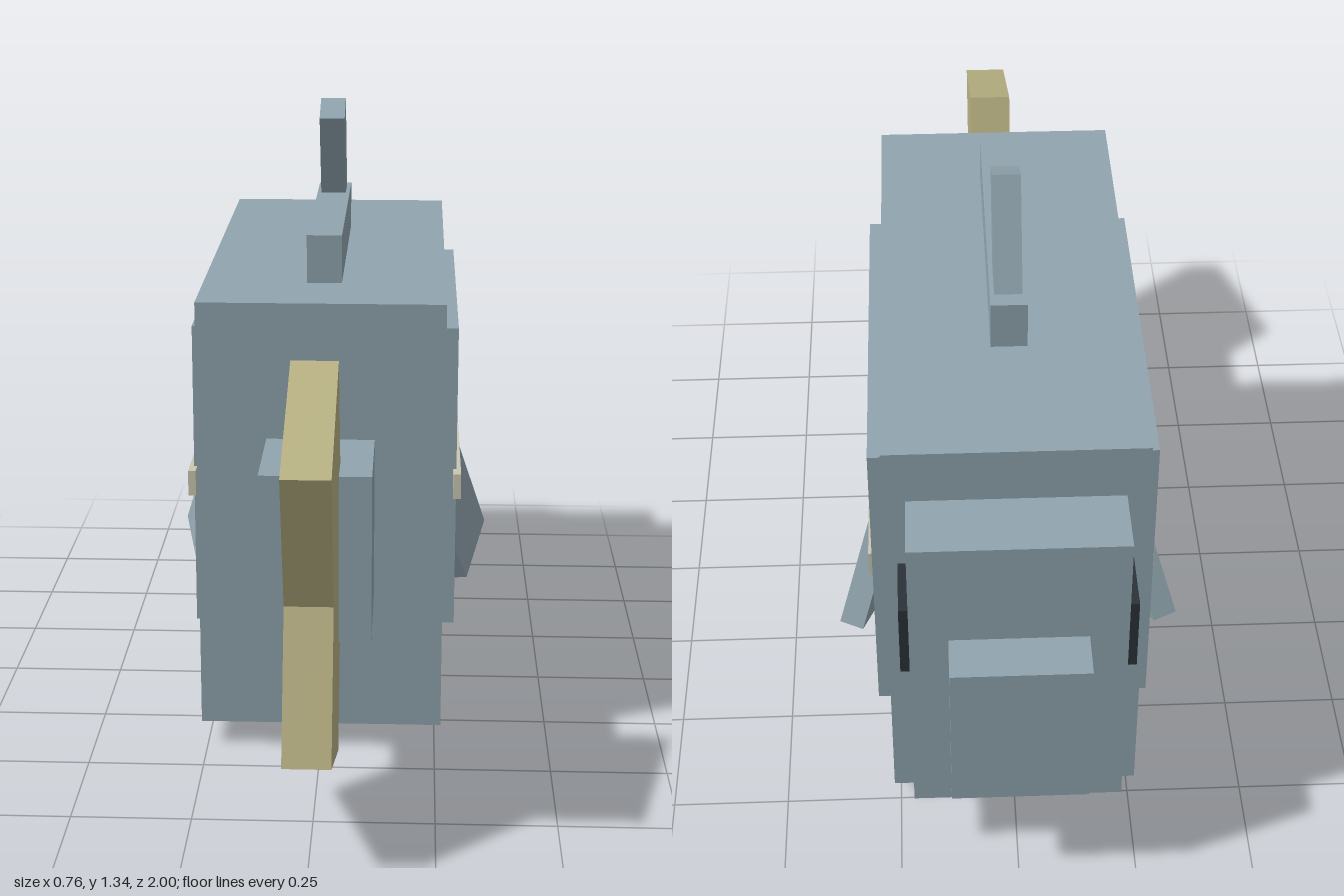
import * as THREE from 'three';

const material = (name, color) => {
  const m = new THREE.MeshStandardMaterial({ color });
  m.name = name;
  return m;
};

// Prism from a convex outer loop (counter-clockwise from outside) pushed along an offset
function prism(outer, offset) {
  const inner = outer.map((p) => p.clone().add(offset));
  const pos = [];
  const tri = (...pts) => pts.forEach((p) => pos.push(p.x, p.y, p.z));
  const n = outer.length;
  for (let i = 1; i < n - 1; i++) {
    tri(outer[0], outer[i], outer[i + 1]);
    tri(inner[0], inner[i + 1], inner[i]);
  }
  for (let i = 0; i < n; i++) {
    const j = (i + 1) % n;
    tri(outer[i], inner[i], inner[j]);
    tri(outer[i], inner[j], outer[j]);
  }
  const g = new THREE.BufferGeometry();
  g.setAttribute('position', new THREE.Float32BufferAttribute(pos, 3));
  g.computeVertexNormals();
  return g;
}

// Side profile given as [z, y], extruded across x and centred
function profile(points, width) {
  const shape = new THREE.Shape(points.map(([z, y]) => new THREE.Vector2(-z, y)));
  const g = new THREE.ExtrudeGeometry(shape, { depth: width, bevelEnabled: false });
  return g.translate(0, 0, -width / 2).rotateY(Math.PI / 2);
}

export function createModel() {
  const group = new THREE.Group();
  group.name = 'blockFish';
  const blue = material('blueGrey', 0x90a4ae);
  const cream = material('cream', 0xc9c7b2);
  const straw = material('straw', 0xb8b183);
  const black = material('black', 0x2a3238);

  const add = (name, geometry, mat) => {
    const mesh = new THREE.Mesh(geometry, mat);
    mesh.name = name;
    group.add(mesh);
    return mesh;
  };
  const box = (name, mat, x0, x1, y0, y1, z0, z1) =>
    add(name, new THREE.BoxGeometry(x1 - x0, y1 - y0, z1 - z0), mat)
      .position.set((x0 + x1) / 2, (y0 + y1) / 2, (z0 + z1) / 2);

  // Body, head and tail root
  box('body', blue, -0.263, 0.263, 0.055, 1.005, -0.755, 0.395);
  box('belly', cream, -0.238, 0.238, 0, 0.056, -0.7, 0.24);
  box('head', blue, -0.218, 0.218, 0.175, 0.885, -0.9, -0.75);
  box('snout', blue, -0.14, 0.14, 0.29, 0.645, -1, -0.895);
  box('tailRoot', blue, -0.115, 0.115, 0.355, 0.71, 0.39, 0.645);

  // Forked tail fin
  add('tailFin', profile([
    [1, 0.82], [0.645, 0.95], [0.542, 0.665], [0.542, 0.395],
    [0.645, 0.11], [1, 0.24], [0.895, 0.53],
  ], 0.096), straw);

  // Back ridge with its tilted spine
  box('backRidge', blue, -0.038, 0.038, 1, 1.11, -0.425, 0.205);
  add('backSpine', profile([
    [-0.205, 1.3], [-0.29, 1.335], [-0.41, 1.06], [-0.315, 1.06],
  ], 0.058), blue);

  // Paired side parts
  for (const [side, s] of [['left', 1], ['right', -1]]) {
    const sideBox = (name, mat, a, b, ...rest) =>
      box(side + name, mat, Math.min(s * a, s * b), Math.max(s * a, s * b), ...rest);
    sideBox('Panel', blue, 0.255, 0.293, 0.21, 0.9, -0.64, 0.18);
    sideBox('Stripe', cream, 0.286, 0.303, 0.52, 0.577, -0.575, 0.218);
    sideBox('Eye', black, 0.21, 0.237, 0.55, 0.72, -0.89, -0.757);

    // Kite-shaped fin flaring out from the flank
    const loop = [
      [0.293, 0.52, -0.34], [0.293, 0.27, -0.197],
      [0.332, 0.16, -0.24], [0.38, 0.24, -0.437],
    ].map(([x, y, z]) => new THREE.Vector3(s * x, y, z));
    if (s > 0) loop.reverse();
    // Loop runs clockwise seen from +x, so only one side needs reversing
    const wind = new THREE.Triangle(loop[0], loop[1], loop[2]).getNormal(new THREE.Vector3());
    if (wind.x * s < 0) loop.reverse();
    add(side + 'Fin', prism(loop, new THREE.Vector3(-s * 0.051, -0.01, -0.017)), blue);
  }
  return group;
}
